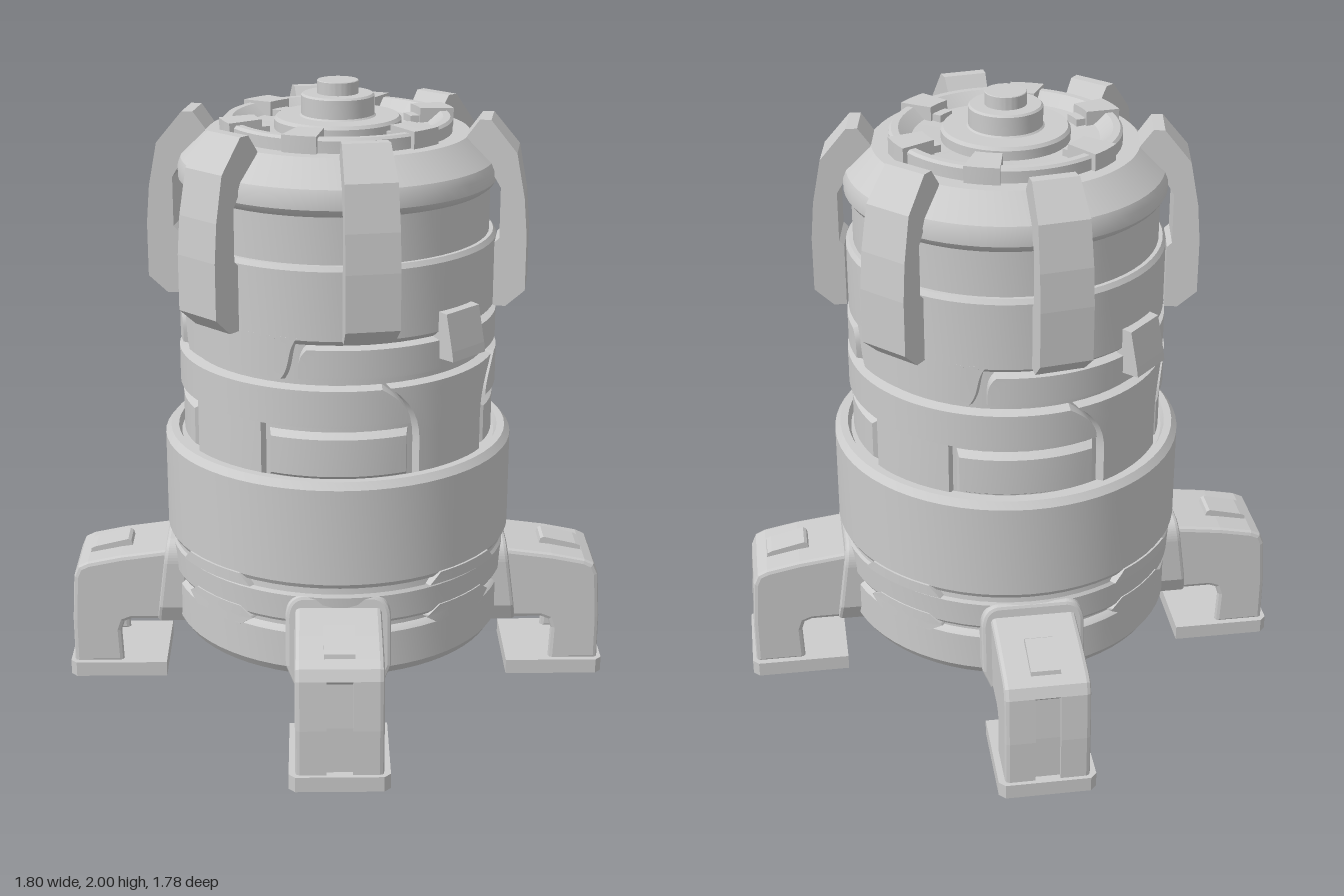
import * as THREE from 'three';
import { toCreasedNormals } from 'three/addons/utils/BufferGeometryUtils.js';

const material = new THREE.MeshStandardMaterial({ color: 0xcccccc });
const rad = THREE.MathUtils.degToRad;

function add(parent, name, geometry) {
  const mesh = new THREE.Mesh(geometry, material);
  mesh.name = name;
  parent.add(mesh);
  return mesh;
}

function lathe(points, segments = 64) {
  const pts = points.map(([r, y]) => new THREE.Vector2(r, y));
  return toCreasedNormals(new THREE.LatheGeometry(pts, segments), 0.4);
}

// Chamfered plate wrapped round the y axis; angles in degrees from +x toward +z.
// half may be a function of the height fraction, for plates with shaped ends.
function wrapped(centre, half, r0, r1, y0, y1, bevel = 0.01) {
  const halfAt = typeof half === 'function' ? half : () => half;
  const maxHalf = Math.max(halfAt(0), halfAt(0.5), halfAt(1));
  const rows = typeof half === 'function' ? 10 : 1;
  const geo = new THREE.BoxGeometry(2, 1, 1, Math.max(2, Math.ceil(maxHalf / 2.5)), rows, 1);
  const p = geo.attributes.position;
  for (let i = 0; i < p.count; i++) {
    const outer = p.getZ(i) > 0;
    const v = p.getY(i) + 0.5;
    const inset = outer ? bevel : 0;
    const r = outer ? r1 : r0;
    const a = rad(centre) - p.getX(i) * (rad(halfAt(v)) - inset / r1);
    p.setXYZ(i, r * Math.cos(a), y0 + inset + v * (y1 - y0 - 2 * inset), r * Math.sin(a));
  }
  geo.computeVertexNormals();
  return geo;
}

// Side profile in (radius, height), extruded sideways between z0 and z1
function slab(points, z0, z1, bevel = 0) {
  const shape = new THREE.Shape(points.map(([x, y]) => new THREE.Vector2(x, y)));
  const geo = new THREE.ExtrudeGeometry(shape, {
    depth: z1 - z0 - 2 * bevel, bevelEnabled: bevel > 0, bevelSize: bevel,
    bevelOffset: -bevel, bevelThickness: bevel, bevelSegments: 2,
  });
  return geo.translate(0, 0, z0 + bevel);
}

function createLeg() {
  const leg = new THREE.Group();
  leg.name = 'leg';

  // Arched socket where the leg meets the body
  const arch = new THREE.Shape();
  arch.moveTo(-0.14, 0.2);
  arch.lineTo(0.14, 0.2);
  arch.lineTo(0.165, 0.26);
  arch.lineTo(0.165, 0.42);
  arch.quadraticCurveTo(0.16, 0.485, 0.11, 0.49);
  arch.lineTo(-0.11, 0.49);
  arch.quadraticCurveTo(-0.16, 0.485, -0.165, 0.42);
  arch.lineTo(-0.165, 0.26);
  const socket = new THREE.ExtrudeGeometry(arch, {
    depth: 0.06, bevelSize: 0.012, bevelOffset: -0.012, bevelThickness: 0.012, bevelSegments: 2,
  });
  socket.rotateY(Math.PI / 2).translate(0.507, 0, 0);
  // The socket face leans outward toward the bottom
  const p = socket.attributes.position;
  for (let i = 0; i < p.count; i++) {
    if (p.getX(i) > 0.54) p.setX(i, p.getX(i) + 0.01 - 0.13 * (p.getY(i) - 0.3));
  }
  socket.computeVertexNormals();
  add(leg, 'legSocket', socket);

  // Bent hollow leg: bevelled cheeks, outer shell and a recessed centre web
  const arm = [[0.83, 0.41], [0.72, 0.432], [0.54, 0.455]];
  const cheek = [[0.54, 0.2], [0.69, 0.2], [0.715, 0.19], [0.725, 0.16], [0.72, 0.04],
    [0.887, 0.04], [0.887, 0.2], [0.877, 0.36], [0.862, 0.395], ...arm];
  const lining = [[0.54, 0.41], [0.72, 0.39], [0.815, 0.365], [0.835, 0.34], [0.84, 0.04]];
  const shell = [...lining, [0.887, 0.04], [0.887, 0.2], [0.877, 0.36], [0.862, 0.395], ...arm];
  const web = [...lining, [0.87, 0.04], [0.87, 0.2], [0.862, 0.345], [0.877, 0.36], [0.862, 0.395], ...arm];
  for (const s of [-1, 1]) {
    add(leg, 'legCheek', slab(cheek, s * 0.12 - 0.015, s * 0.12 + 0.015, 0.014));
    add(leg, 'legShell', slab(shell, s * 0.08 - 0.04, s * 0.08 + 0.04));
  }
  add(leg, 'legWeb', slab(web, -0.045, 0.045));
  add(leg, 'legTopPad', slab([[0.68, 0.42], [0.83, 0.39], [0.825, 0.425], [0.81, 0.432], [0.70, 0.458], [0.69, 0.452]], -0.047, 0.047));

  // Hollow foot tray, open underneath
  const tray = (w, x0, x1, Path) => {
    const c = 0.02, s = new Path();
    s.moveTo(x0, -w);
    s.lineTo(x1 - c, -w);
    s.lineTo(x1, -w + c);
    s.lineTo(x1, w - c);
    s.lineTo(x1 - c, w);
    s.lineTo(x0, w);
    s.closePath();
    return s;
  };
  const rim = tray(0.155, 0.575, 0.9, THREE.Shape);
  rim.holes.push(tray(0.135, 0.595, 0.88, THREE.Path));
  const flat = { depth: 0.035, bevelEnabled: false };
  add(leg, 'footRim', new THREE.ExtrudeGeometry(rim, flat).rotateX(-Math.PI / 2));
  const plate = new THREE.ExtrudeGeometry(tray(0.155, 0.575, 0.9, THREE.Shape), { depth: 0.015, bevelEnabled: false });
  add(leg, 'footPlate', plate.rotateX(-Math.PI / 2).translate(0, 0.035, 0));
  return leg;
}

export function createModel() {
  const model = new THREE.Group();
  model.name = 'machine';
  const tower = new THREE.Group();
  tower.name = 'tower';
  tower.position.set(0.006, 0, 0.005);
  model.add(tower);

  // Hollow base open below, wide collar, core, upper drum, sloped cap and hub
  add(tower, 'body', lathe([
    [0, 0.86], [0.47, 0.86], [0.5, 0.8], [0.51, 0.2],
    [0.525, 0.2], [0.545, 0.23], [0.545, 0.35], [0.535, 0.36], [0.525, 0.365], [0.525, 0.385],
    [0.547, 0.39], [0.553, 0.4], [0.557, 0.485], [0.55, 0.495], [0.548, 0.515], [0.56, 0.52], [0.568, 0.535],
    [0.568, 0.85], [0.55, 0.872], [0.525, 0.872], [0.515, 0.85], [0.48, 0.85],
    [0.48, 1.285], [0.495, 1.295], [0.505, 1.305], [0.505, 1.52], [0.495, 1.535], [0.482, 1.535], [0.482, 1.68],
    [0.495, 1.69], [0.505, 1.705], [0.505, 1.74], [0.495, 1.765], [0.415, 1.843], [0.36, 1.843],
    [0.36, 1.88], [0.352, 1.888], [0.33, 1.888], [0.29, 1.855], [0.2, 1.85],
    [0.2, 1.88], [0.192, 1.89], [0.12, 1.89],
    [0.115, 1.895], [0.115, 1.953], [0.109, 1.959], [0.065, 1.959], [0.065, 1.998], [0.063, 2], [0, 2],
  ]));

  // Raised plates on the middle drum; the layout repeats after half a turn
  const ends = v => 17.5 + 11 * Math.pow(Math.max(0, v - 0.35) / 0.65, 2.5);
  for (const turn of [0, 180]) {
    const at = turn + 45, rear = turn + 135;
    add(tower, 'shieldPlate', wrapped(at, ends, 0.47, 0.51, 0.85, 1.16));
    add(tower, 'upperBand', wrapped(at, v => 60.5 - 3 * Math.pow(v, 4), 0.47, 0.51, 1.175, 1.288));
    add(tower, 'drumSkirt', wrapped(rear, v => 28 + 3 * Math.pow(v, 4) - 3 * Math.pow(1 - v, 4), 0.47, 0.505, 1.17, 1.32, 0.008));
    add(tower, 'lowerBand', wrapped(rear, v => 71 - 10.5 * Math.pow(v, 2), 0.47, 0.514, 1.022, 1.16));
    add(tower, 'rearPlate', wrapped(rear, 17, 0.47, 0.507, 0.85, 1.035, 0.005));
    for (const s of [-1, 1]) {
      add(tower, 'ledge', wrapped(rear + s * 44.5, 26.5, 0.475, 0.505, 0.85, 1.01, 0.02));
    }
    // Hanging tab between the two close fins
    const tab = add(tower, 'tab', slab([[0.48, 1.22], [0.56, 1.22], [0.555, 1.25], [0.53, 1.365], [0.48, 1.37]], -0.075, 0.075));
    tab.rotation.y = -rad(at);
  }

  // Six tapered fins around the upper drum, standing clear of its recess
  const finShape = [[0.505, 1.31], [0.545, 1.31], [0.605, 1.365], [0.605, 1.54], [0.595, 1.66], [0.568, 1.8],
    [0.485, 1.9], [0.45, 1.9], [0.41, 1.845], [0.44, 1.8], [0.49, 1.74], [0.52, 1.69], [0.52, 1.53], [0.505, 1.515]];
  const finGeo = slab(finShape, -1, 1);
  const fp = finGeo.attributes.position;
  for (let i = 0; i < fp.count; i++) {
    fp.setZ(i, Math.sign(fp.getZ(i)) * (0.066 + 0.085 * (fp.getX(i) - 0.41)));
  }
  finGeo.computeVertexNormals();
  for (const angle of [9, 81, 135, 189, 261, 315]) {
    add(tower, 'fin', finGeo).rotation.y = -rad(angle);
  }

  // Clamps on the top ring
  for (const a of [45, 109, 161, 225, 289, 341]) {
    add(tower, 'topClamp', wrapped(a, 9, 0.265, 0.375, 1.83, 1.9, 0.004));
    add(tower, 'topClampFoot', wrapped(a, 7, 0.235, 0.27, 1.84, 1.875, 0));
  }

  // Key plates on the base and legs, one set per quarter
  for (let k = 0; k < 4; k++) {
    const a = 45 + 90 * k;
    add(tower, 'baseKey', wrapped(a, v => 16 - 5 * Math.abs(2 * v - 1), 0.51, 0.557, 0.345, 0.42, 0.006));
    add(tower, 'collarKey', wrapped(a, v => 16 - 4 * v, 0.52, 0.574, 0.495, 0.542, 0.005));
    // The front and back legs sit slightly closer in
    const leg = createLeg();
    leg.rotation.y = k * Math.PI / 2;
    if (k % 2) leg.position.z = k === 1 ? 0.01 : -0.01;
    model.add(leg);
  }
  return model;
}
